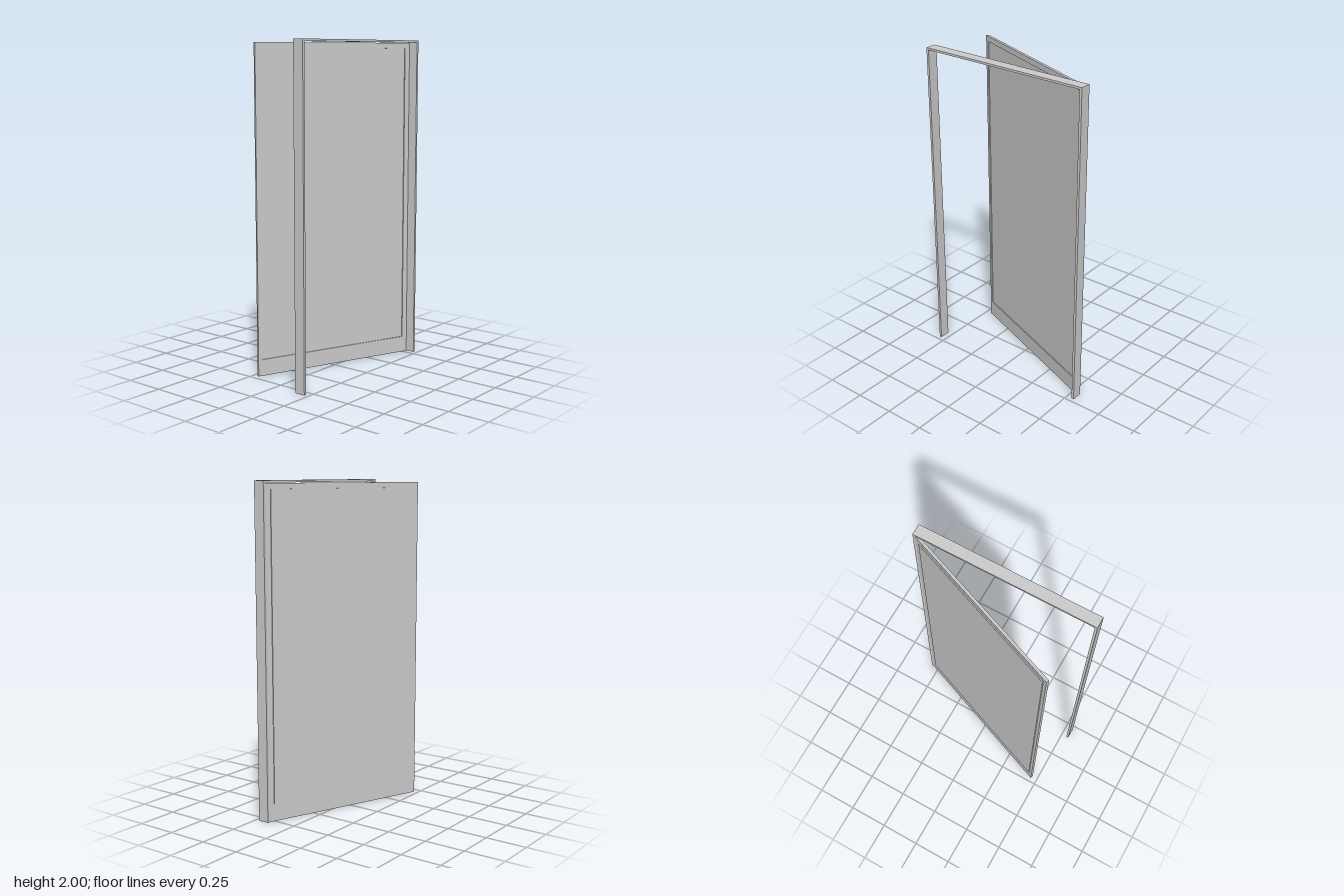
import * as THREE from 'three';

const material = new THREE.MeshStandardMaterial({ color: 0xcccccc });

// Box given by its minimum and maximum corners
function box(name, min, max) {
  const size = max.map((v, i) => v - min[i]);
  const mesh = new THREE.Mesh(new THREE.BoxGeometry(...size), material);
  mesh.position.set(...max.map((v, i) => (v + min[i]) / 2));
  mesh.name = name;
  return mesh;
}

// Rectangular path, used for outlines and holes
function rectangle(path, x0, y0, x1, y1) {
  path.moveTo(x0, y0);
  path.lineTo(x1, y0);
  path.lineTo(x1, y1);
  path.lineTo(x0, y1);
  path.closePath();
  return path;
}

// Extruded flat shape with one rectangular hole or none
function extrude(name, shape, depth) {
  const geometry = new THREE.ExtrudeGeometry(shape, { depth, bevelEnabled: false });
  const mesh = new THREE.Mesh(geometry, material);
  mesh.name = name;
  return mesh;
}

export function createModel() {
  const model = new THREE.Group();
  model.name = 'openDoor';

  const halfWidth = 0.55, height = 2, jamb = 0.015, head = 0.013;
  const back = 0.157, front = 0.225;
  const inner = halfWidth - jamb;

  // Door frame: two jambs and a head, open at the floor
  const outline = new THREE.Shape();
  [[-halfWidth, 0], [-inner, 0], [-inner, height - head], [inner, height - head],
    [inner, 0], [halfWidth, 0], [halfWidth, height], [-halfWidth, height]]
    .forEach(([x, y], i) => (i ? outline.lineTo(x, y) : outline.moveTo(x, y)));
  outline.closePath();
  const frame = extrude('doorFrame', outline, front - back);
  frame.position.z = back;
  model.add(frame);

  // Door swings backwards about the rear inner edge of the left jamb
  const door = new THREE.Group();
  door.name = 'door';
  door.position.set(inner, 0, back);
  door.rotation.y = -THREE.MathUtils.degToRad(21);
  model.add(door);

  // Leaf border with a tall bottom rail
  const width = 1.065, thickness = 0.017, step = 0.006;
  const opening = [-width + 0.021, 0.1, -0.033, 1.952];
  const leaf = rectangle(new THREE.Shape(), -width, 0, 0, 1.985);
  leaf.holes.push(rectangle(new THREE.Path(), ...opening));
  door.add(extrude('doorBorder', leaf, thickness));

  // Panel set back: recessed on the front, raised on the back
  const [x0, y0, x1, y1] = opening;
  door.add(box('doorPanel', [x0, y0, -step], [x1, y1, thickness - step]));

  return model;
}
